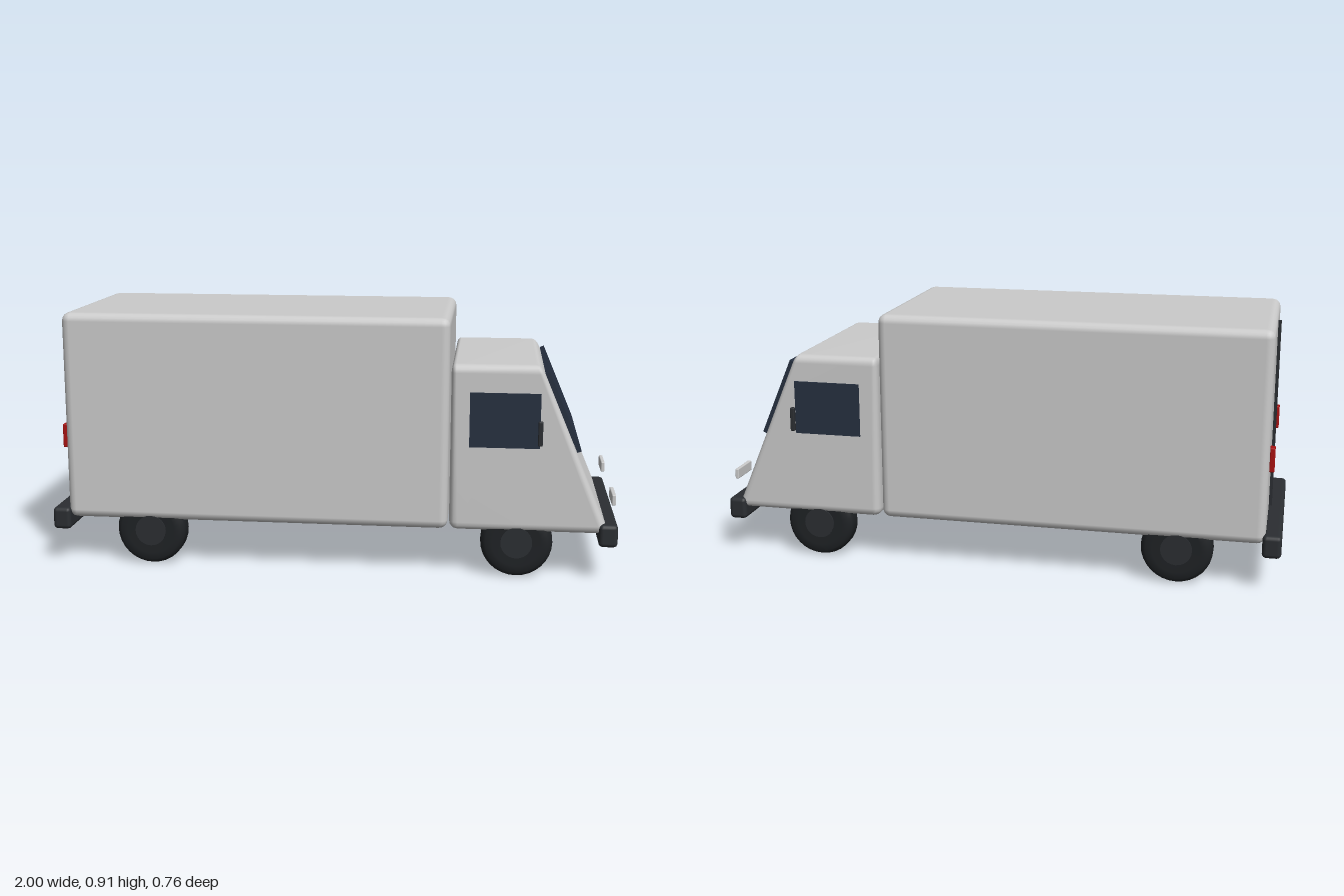
import * as THREE from 'three';
import { mergeVertices } from 'three/addons/utils/BufferGeometryUtils.js';
import { RoundedBoxGeometry } from 'three/addons/geometries/RoundedBoxGeometry.js';

const paint = (color) => new THREE.MeshStandardMaterial({ color });

export function createModel() {
  const truck = new THREE.Group();
  truck.name = 'boxTruck';
  const body = paint(0xcccccc);
  const glass = paint(0x263040);
  const trim = paint(0x2b2e32);
  const rubber = paint(0x1f2225);
  const red = paint(0xaa1111);

  const add = (name, geometry, material, x, y, z) => {
    const mesh = new THREE.Mesh(geometry, material);
    mesh.name = name;
    mesh.position.set(x, y, z);
    truck.add(mesh);
    return mesh;
  };
  const box = (w, h, d) => new THREE.BoxGeometry(w, h, d);
  const rounded = (w, h, d, r) => new RoundedBoxGeometry(w, h, d, 2, r);

  // Cargo body
  add('cargoBox', rounded(1.36, 0.74, 0.68, 0.03), body, -0.265, 0.535, 0);

  // Cab: rounded box whose front leans back towards the roof
  const cabW = 0.553, cabH = 0.585;
  const cabGeometry = rounded(cabW, cabH, 0.68, 0.03);
  const p = cabGeometry.attributes.position;
  for (let i = 0; i < p.count; i++) {
    const t = p.getX(i) / cabW + 0.5;
    const rise = p.getY(i) / cabH + 0.5;
    p.setX(i, p.getX(i) - 0.25 * t * rise);
  }
  cabGeometry.deleteAttribute('normal');
  cabGeometry.deleteAttribute('uv');
  const cabSmooth = mergeVertices(cabGeometry, 1e-5);
  cabSmooth.computeVertexNormals();
  add('cab', cabSmooth, body, 0.42 + cabW / 2, 0.165 + cabH / 2, 0);

  // Windscreen lying on the sloped front
  const screen = add('windscreen', box(0.016, 0.295, 0.616), glass, 0.803, 0.585, 0);
  screen.rotation.z = Math.atan(0.25 / cabH);

  // Bumpers
  add('frontBumper', rounded(0.065, 0.08, 0.7, 0.015), trim, 0.9675, 0.163, 0);
  add('rearBumper', rounded(0.065, 0.08, 0.7, 0.015), trim, -0.9675, 0.163, 0);

  // Seam between the rear doors
  add('rearDoorSeam', box(0.012, 0.7, 0.014), trim, -0.95, 0.53, 0);

  // Tyre and hub profiles, revolved about the axle
  const tyreProfile = [
    [0, -0.038], [0.085, -0.041], [0.108, -0.039], [0.12, -0.03], [0.125, -0.018],
    [0.125, 0.018], [0.12, 0.03], [0.108, 0.039], [0.085, 0.041], [0, 0.038],
  ].map(([r, h]) => new THREE.Vector2(r, h));
  const tyre = new THREE.LatheGeometry(tyreProfile, 32).rotateX(Math.PI / 2);
  const hub = new THREE.CylinderGeometry(0.055, 0.055, 0.09, 24).rotateX(Math.PI / 2);

  for (const s of [1, -1]) {
    const side = s > 0 ? 'Near' : 'Far';
    add('sideWindow' + side, box(0.24, 0.19, 0.01), glass, 0.605, 0.56, s * 0.34);
    add('mirror' + side, rounded(0.016, 0.085, 0.016, 0.004), trim, 0.725, 0.523, s * 0.37);
    add('headlight' + side, rounded(0.014, 0.038, 0.118, 0.004), body, 0.985, 0.28, s * 0.241);
    add('tailLight' + side, rounded(0.018, 0.085, 0.036, 0.004), red, -0.953, 0.46, s * 0.292);
    for (const [axle, x] of [['front', 0.655], ['rear', -0.645]]) {
      add(axle + 'Tyre' + side, tyre, rubber, x, 0.125, s * 0.29);
      add(axle + 'Hub' + side, hub, trim, x, 0.125, s * 0.29);
    }
  }
  return truck;
}
